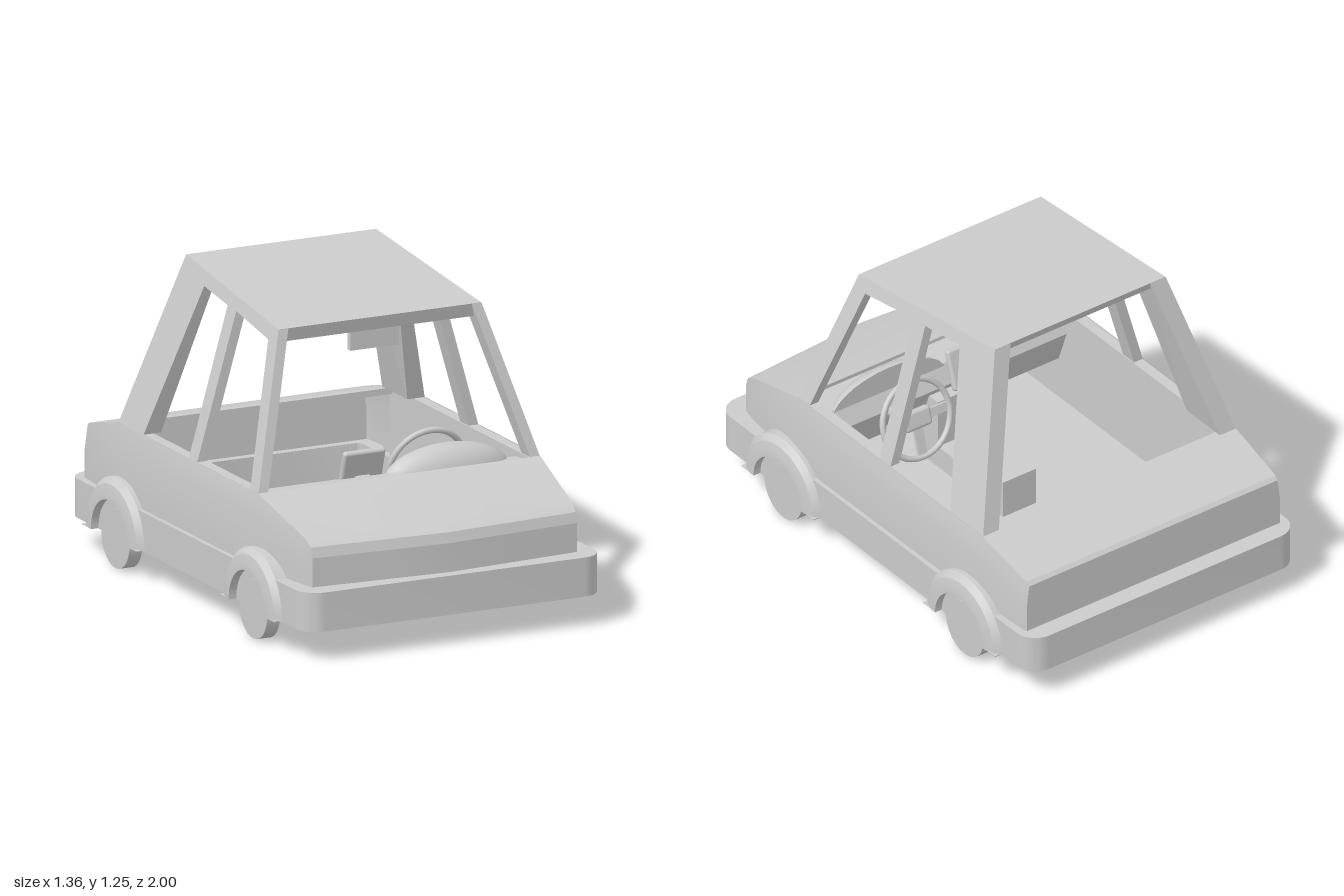
import * as THREE from 'three';
import { toCreasedNormals } from 'three/addons/utils/BufferGeometryUtils.js';
import { RoundedBoxGeometry } from 'three/addons/geometries/RoundedBoxGeometry.js';

const mat = new THREE.MeshStandardMaterial({ color: 0xcccccc, side: THREE.DoubleSide });
const BELT = 0.56;
// half width of the sloping cabin at height y
const cabinHalf = y => 0.605 - 0.285 * (y - BELT);

function add(parent, name, geo, x = 0, y = 0, z = 0) {
  const mesh = new THREE.Mesh(geo, mat);
  mesh.name = name;
  mesh.position.set(x, y, z);
  parent.add(mesh);
  return mesh;
}
const box = (parent, name, w, h, d, x, y, z) => add(parent, name, new THREE.BoxGeometry(w, h, d), x, y, z);

// side profile of [z, y] points, extruded by one unit; rule gives x from (depth, y, z)
function profile(points, rule) {
  const shape = new THREE.Shape(points.map(p => new THREE.Vector2(p[0], p[1])));
  const geo = new THREE.ExtrudeGeometry(shape, { depth: 1, bevelEnabled: false });
  const p = geo.attributes.position;
  for (let i = 0; i < p.count; i++) {
    const z = p.getX(i), y = p.getY(i);
    p.setXYZ(i, rule(p.getZ(i), y, z), y, z);
  }
  geo.computeVertexNormals();
  return geo;
}

// skin between rows of points; skip(i, j) leaves a panel open
function loft(rows, skip = () => false) {
  const pos = [];
  for (let i = 0; i < rows.length - 1; i++)
    for (let j = 0; j < rows[i].length - 1; j++) {
      if (skip(i, j)) continue;
      const a = rows[i][j], b = rows[i][j + 1], c = rows[i + 1][j], d = rows[i + 1][j + 1];
      pos.push(...a, ...b, ...c, ...b, ...d, ...c);
    }
  const geo = new THREE.BufferGeometry();
  geo.setAttribute('position', new THREE.Float32BufferAttribute(pos, 3));
  return toCreasedNormals(geo, 0.45);
}

function roundedRect(target, w, l, r) {
  target.moveTo(-w + r, -l);
  target.lineTo(w - r, -l);
  target.absarc(w - r, -l + r, r, -Math.PI / 2, 0);
  target.absarc(w - r, l - r, r, 0, Math.PI / 2);
  target.absarc(-w + r, l - r, r, Math.PI / 2, Math.PI);
  target.absarc(-w + r, -l + r, r, Math.PI, Math.PI * 1.5);
  return target;
}

function slab(shape, y, h) {
  const geo = new THREE.ExtrudeGeometry(shape, { depth: h, bevelEnabled: false, curveSegments: 6 });
  geo.rotateX(-Math.PI / 2).translate(0, y, 0);
  return toCreasedNormals(geo, 0.5);
}

function buildBody(car) {
  // bumper band with open middle, and the floor
  const ring = roundedRect(new THREE.Shape(), 0.645, 1, 0.09);
  ring.holes.push(roundedRect(new THREE.Path(), 0.56, 0.89, 0.02));
  add(car, 'bumperBand', slab(ring, 0.12, 0.155));
  add(car, 'floor', slab(roundedRect(new THREE.Shape(), 0.6, 0.95, 0.06), 0.121, 0.02));

  // stations front to back: z, top height, half width at top, half width below, nose bulge
  const stations = [
    [0.912, 0.39, 0.57, 0.57, 0.04], [0.9, 0.43, 0.57, 0.573, 0.04], [0.86, 0.458, 0.575, 0.582, 0.03],
    [0.53, BELT, 0.607, 0.628, 0], [-0.645, BELT, 0.607, 0.626, 0],
    [-0.91, 0.492, 0.597, 0.612, 0], [-0.925, 0.478, 0.595, 0.607, 0]
  ];
  const rows = stations.map(([z, t, wt, wb, bulge]) => {
    const top = [-1, -0.5, 0, 0.5, 1].map(u => [u * wt, t, z + bulge * (1 - Math.abs(u))]);
    return [[-wb, 0.25, z], [-wb, t - 0.09, z], ...top, [wb, t - 0.09, z], [wb, 0.25, z]];
  });
  add(car, 'bodyShell', loft(rows, (i, j) => i === 3 && j > 1 && j < 6));
  const flat = row => row.map(p => [p[0], 0.25, p[2]]);
  add(car, 'noseFace', loft([flat(rows[0]), rows[0]]));
  add(car, 'tailFace', loft([rows[6], flat(rows[6])]));

  // door inner walls with sills, and the rear window ledge
  for (const s of [-1, 1]) box(car, 'doorWall', 0.044, 0.42, 1.17, s * 0.582, 0.349, -0.057);
  box(car, 'rearLedge', 1.2, 0.025, 0.03, 0, 0.547, -0.632);
}

function buildCabin(car) {
  // pillars and window frames of one side, leaning inward
  const frame = [
    [0.53, BELT], [0.37, 1.15], [-0.46, 1.245], [-0.645, BELT], [-0.435, BELT], [-0.265, 1.17],
    [-0.055, 1.145], [-0.055, BELT], [0.015, BELT], [0.02, 1.14], [0.31, 1.1], [0.46, BELT]
  ];
  const geo = profile(frame, (d, y, z) => cabinHalf(y) - d * (z < -0.4 ? 0.075 : 0.042));
  add(car, 'leftPillars', geo);
  add(car, 'rightPillars', geo).scale.x = -1;
  // roof with windscreen header
  const roof = [[0.37, 1.151], [-0.46, 1.246], [-0.452, 1.215], [0.29, 1.13], [0.31, 1.097], [0.356, 1.097]];
  add(car, 'roof', profile(roof, (d, y) => (1 - 2 * d) * (cabinHalf(y) - 0.002)));
}

function buildWheels(car) {
  const arch = [[0.15, 0.59], [0.238, 0.59], [0.236, 0.645], [0.212, 0.668], [0.17, 0.678], [0.15, 0.678], [0.15, 0.59]];
  const archGeo = new THREE.LatheGeometry(arch.map(p => new THREE.Vector2(p[0], p[1])), 28, Math.PI, Math.PI);
  const fender = toCreasedNormals(archGeo.rotateZ(-Math.PI / 2), 0.5);
  // closed foot of each arch
  const wheel = new THREE.CylinderGeometry(0.118, 0.118, 0.056, 32).rotateZ(Math.PI / 2);
  for (const z of [0.57, -0.585])
    for (const s of [-1, 1]) {
      add(car, 'wheelArch', fender, 0, 0.122, z).scale.x = s;
      for (const e of [-1, 1]) box(car, 'archFoot', 0.085, 0.004, 0.075, s * 0.633, 0.124, z + e * 0.192);
      add(car, 'wheel', wheel, s * 0.621, 0.118, z);
    }
}

function buildInterior(car) {
  // dashboard
  const dash = [[0.53, 0.545], [0.41, 0.535], [0.37, 0.46], [0.42, 0.32], [0.53, 0.28]];
  add(car, 'dashboard', profile(dash, d => (1 - 2 * d) * 0.56));
  const hood = new THREE.SphereGeometry(1, 28, 14, 0, Math.PI).scale(0.27, 0.125, 0.1);
  add(car, 'gaugeHood', hood, 0.265, 0.502, 0.405);
  add(car, 'gaugePanel', new THREE.CircleGeometry(1, 28).rotateY(Math.PI).scale(0.27, 0.125, 1), 0.265, 0.502, 0.405);
  // centre screen
  const screen = new THREE.Group();
  screen.name = 'centreScreen';
  screen.position.set(-0.065, 0.545, 0.34);
  screen.rotation.x = 0.3;
  add(screen, 'screenPanel', new RoundedBoxGeometry(0.18, 0.17, 0.028, 2, 0.012));
  box(screen, 'screenMount', 0.06, 0.06, 0.06, 0, -0.05, 0.03);
  car.add(screen);
  // centre console
  box(car, 'console', 0.15, 0.1, 0.5, 0.02, 0.185, 0.17);
  box(car, 'armrest', 0.16, 0.16, 0.14, 0.02, 0.22, -0.03);
  box(car, 'consoleRiser', 0.15, 0.22, 0.1, 0.02, 0.33, 0.37);
  box(car, 'shiftLever', 0.022, 0.12, 0.022, 0.02, 0.28, 0.16);

  // steering wheel on its column
  const steering = new THREE.Group();
  steering.name = 'steeringWheel';
  steering.position.set(0.27, 0.49, 0.225);
  steering.rotation.x = 0.3;
  add(steering, 'rim', new THREE.TorusGeometry(0.158, 0.012, 10, 36));
  add(steering, 'hub', new RoundedBoxGeometry(0.13, 0.08, 0.035, 2, 0.015));
  box(steering, 'crossSpoke', 0.305, 0.035, 0.014, 0, 0, 0.004);
  box(steering, 'lowerSpoke', 0.04, 0.14, 0.014, 0, -0.085, 0.004);
  add(steering, 'column', new THREE.CylinderGeometry(0.025, 0.025, 0.2, 14).rotateX(Math.PI / 2), 0, 0, 0.1);
  car.add(steering);

  // mirror under the roof
  box(car, 'mirror', 0.21, 0.104, 0.024, 0.04, 1.043, 0.236);
  for (const y of [1.07, 1.022]) box(car, 'mirrorTrim', 0.19, 0.038, 0.016, 0.04, y, 0.218);
  box(car, 'mirrorStem', 0.02, 0.06, 0.015, 0.04, 1.11, 0.242);
}

export function createModel() {
  const car = new THREE.Group();
  car.name = 'car';
  buildBody(car);
  buildCabin(car);
  buildWheels(car);
  buildInterior(car);
  return car;
}
